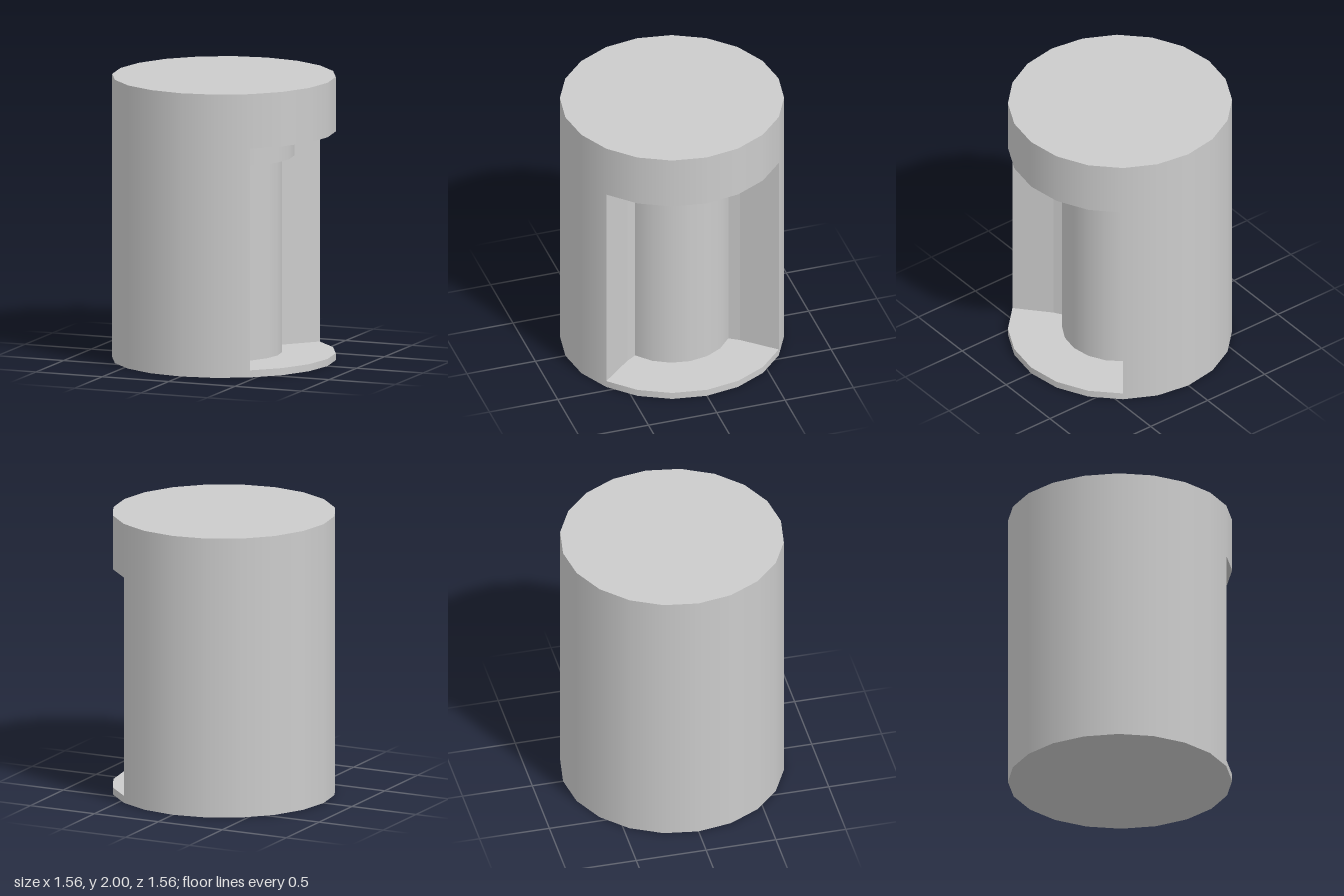
import * as THREE from 'three';

const R = 0.78, LIP_R = 0.49, CORE_R = 0.404;       // body, lip and core radii
const BASE_Y = 0.05, LIP_Y = 1.44, ROOF_Y = 1.615, TOP_Y = 2;
const rad = THREE.MathUtils.degToRad;
const OPEN = rad(54), INNER = rad(57.4);            // half angles of the opening, about +x
const STEPS = 6;

const material = new THREE.MeshStandardMaterial({ color: 0xcccccc });

// Open curved wall between two heights
function band(r, y0, y1, segments, start, length) {
  const g = new THREE.CylinderGeometry(r, r, y1 - y0, segments, 1, true, start, length);
  return g.translate(0, (y0 + y1) / 2, 0);
}

// Horizontal face, looking up or down
function level(geometry, y, up) {
  return geometry.rotateX(up ? -Math.PI / 2 : Math.PI / 2).translate(0, y, 0);
}

function arc(r, half) {
  return Array.from({ length: STEPS + 1 }, (_, i) => {
    const a = -half + (2 * half * i) / STEPS;
    return new THREE.Vector2(r * Math.cos(a), r * Math.sin(a));
  });
}

// Part-ring between two arcs
function ringSector(outer, inner) {
  return new THREE.ShapeGeometry(new THREE.Shape([...outer, ...inner.slice().reverse()]));
}

// Vertical panel from plan point a to plan point b
function panel(a, b, y0, y1) {
  const g = new THREE.BufferGeometry();
  g.setAttribute('position', new THREE.Float32BufferAttribute([
    a.x, y0, a.y, b.x, y0, b.y, b.x, y1, b.y, a.x, y1, a.y,
  ], 3));
  g.setIndex([0, 1, 2, 0, 2, 3]);
  g.computeVertexNormals();
  return g;
}

export function createModel() {
  const model = new THREE.Group();
  model.name = 'notchedCylinder';
  const add = (name, geometry) => {
    const mesh = new THREE.Mesh(geometry, material);
    mesh.name = name;
    model.add(mesh);
  };

  // Outer shell
  add('topFace', level(new THREE.CircleGeometry(R, 20), TOP_Y, true));
  add('bottomFace', level(new THREE.CircleGeometry(R, 20), 0, false));
  add('topBand', band(R, ROOF_Y, TOP_Y, 20, 0, Math.PI * 2));
  add('baseRim', band(R, 0, BASE_Y, 20, 0, Math.PI * 2));
  add('bodyWall', band(R, BASE_Y, ROOF_Y, 14, Math.PI / 2 + OPEN, Math.PI * 2 - 2 * OPEN));

  // Core and its lip inside the opening
  add('core', band(CORE_R, BASE_Y, LIP_Y, STEPS, Math.PI / 2 - INNER, 2 * INNER));
  add('lip', band(LIP_R, LIP_Y, ROOF_Y, STEPS, Math.PI / 2 - INNER, 2 * INNER));

  // Floor, ceiling and lip underside
  const rim = arc(R, OPEN), lip = arc(LIP_R, INNER), core = arc(CORE_R, INNER);
  const floorOutline = [rim[0], ...rim.slice(1)];
  const floorInner = [lip[0], ...core, lip[STEPS]];
  add('recessFloor', level(ringSector(floorOutline, floorInner), BASE_Y, true));
  add('recessCeiling', level(ringSector(rim, lip), ROOF_Y, false));
  add('lipUnderside', level(ringSector(lip, core), LIP_Y, false));

  // Side walls of the opening
  add('frontWallOuter', panel(rim[STEPS], lip[STEPS], BASE_Y, ROOF_Y));
  add('frontWallInner', panel(lip[STEPS], core[STEPS], BASE_Y, LIP_Y));
  add('backWallOuter', panel(lip[0], rim[0], BASE_Y, ROOF_Y));
  add('backWallInner', panel(core[0], lip[0], BASE_Y, LIP_Y));

  return model;
}
